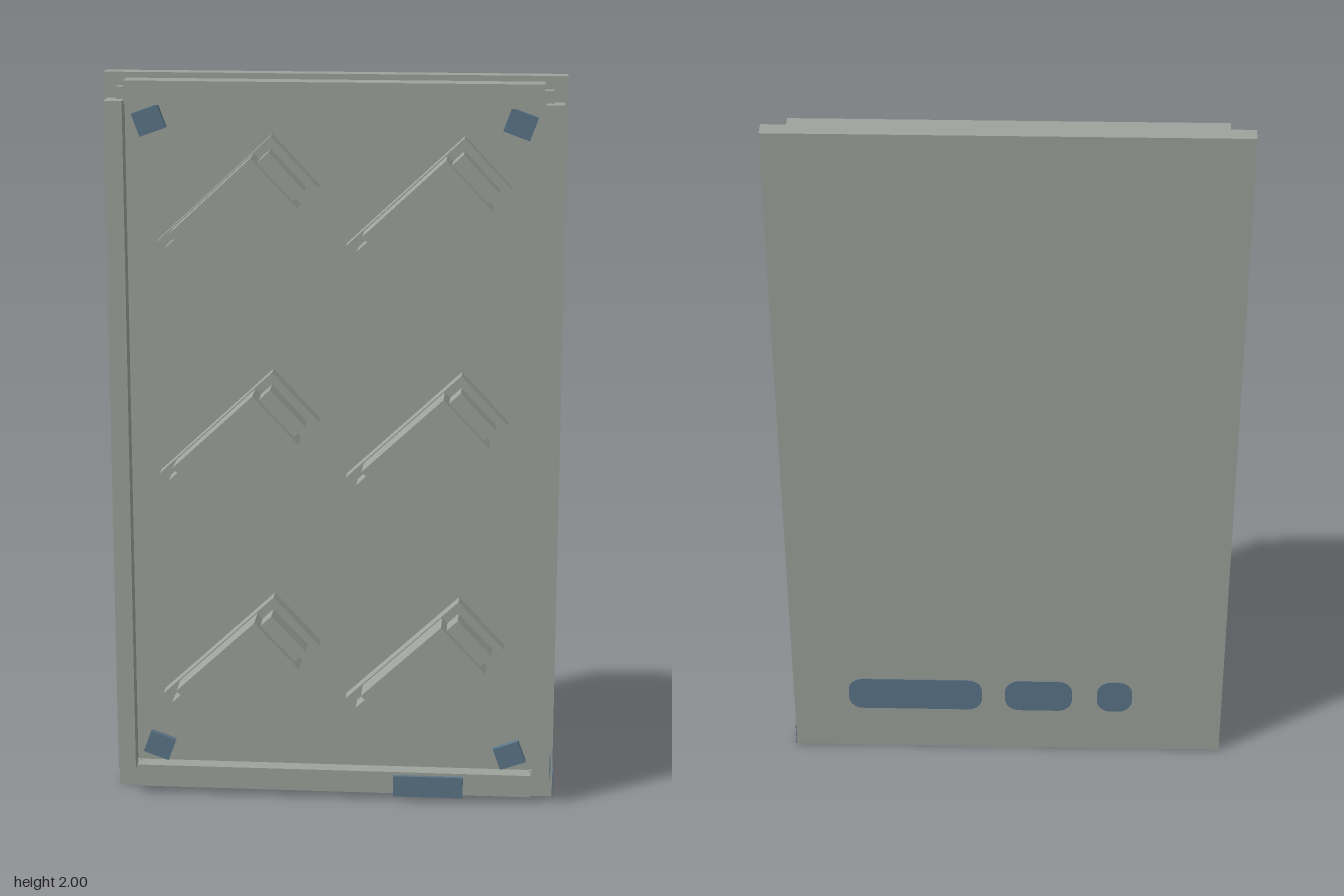
import * as THREE from 'three';

export function createModel() {
  const group = new THREE.Group();
  const grey = new THREE.MeshStandardMaterial({ color: 0x9ea39d });
  grey.name = 'warm grey';
  const blue = new THREE.MeshStandardMaterial({ color: 0x5c7689 });
  blue.name = 'slate blue';

  // box given by its lower and upper limits on each axis
  function box(name, [x0, x1], [y0, y1], [z0, z1], material = grey, parent = group) {
    const mesh = new THREE.Mesh(new THREE.BoxGeometry(x1 - x0, y1 - y0, z1 - z0), material);
    mesh.position.set((x0 + x1) / 2, (y0 + y1) / 2, (z0 + z1) / 2);
    mesh.name = name;
    parent.add(mesh);
    return mesh;
  }

  const floor = -0.035;

  // back slab and recessed tray
  box('backSlab', [-0.606, 0.606], [0, 2], [-0.095, -0.05]);
  box('trayFloor', [-0.55, 0.55], [0.08, 1.92], [-0.05, floor]);

  // raised frame
  box('topRail', [-0.546, 0.546], [1.922, 1.985], [-0.05, 0.009]);
  box('bottomRail', [-0.546, 0.546], [0.02, 0.083], [-0.05, 0.009]);
  for (const s of [-1, 1]) {
    const side = (a, b) => (s > 0 ? [a, b] : [-b, -a]);
    box('sideRail', side(0.55, 0.598), [0.072, 1.932], [-0.05, 0.013]);
    box('upperCornerConnector', side(0.54, 0.57), [1.92, 1.965], [-0.05, -0.022]);
    box('lowerCornerConnector', side(0.54, 0.57), [0.038, 0.085], [-0.05, -0.022]);

    // tilted pads in the tray corners
    for (const [y, tilt] of [[1.877, -20], [0.13, 20]]) {
      const pad = box('cornerPad', [-0.037, 0.037], [-0.032, 0.032], [floor, -0.018], blue);
      pad.position.x = s * 0.486;
      pad.position.y = y;
      pad.rotation.z = THREE.MathUtils.degToRad(s * tilt);
    }
  }

  // six slanted modules: mounting base, long core, taller body
  for (const x of [-0.253, 0.251]) {
    for (const y of [0.372, 1.003, 1.634]) {
      const unit = new THREE.Group();
      unit.name = 'slantedModule';
      box('moduleBase', [-0.21, 0.21], [-0.092, 0.092], [floor, 0.01], grey, unit);
      box('moduleCore', [-0.188, 0.188], [-0.068, 0.068], [0.01, 0.072], grey, unit);
      box('moduleBody', [-0.147, 0.147], [-0.089, 0.089], [0.01, 0.095], grey, unit);
      unit.position.set(x, y, 0);
      unit.rotation.z = THREE.MathUtils.degToRad(43);
      group.add(unit);
    }
  }

  // tab on the bottom rail and markings on the left edge
  box('bottomTab', [0.168, 0.36], [0.015, 0.075], [0.005, 0.02], blue);
  box('railMark', [0.597, 0.6], [0.072, 0.145], [-0.048, 0.013], blue);
  box('slabMark', [0.605, 0.608], [0, 0.068], [-0.095, -0.05], blue);

  // rounded plates on the back
  function roundedPlate(x0, x1, y0, y1, r) {
    const s = new THREE.Shape();
    s.moveTo(x0 + r, y0);
    s.lineTo(x1 - r, y0);
    s.absarc(x1 - r, y0 + r, r, -Math.PI / 2, 0, false);
    s.absarc(x1 - r, y1 - r, r, 0, Math.PI / 2, false);
    s.absarc(x0 + r, y1 - r, r, Math.PI / 2, Math.PI, false);
    s.absarc(x0 + r, y0 + r, r, Math.PI, Math.PI * 1.5, false);
    const geometry = new THREE.ExtrudeGeometry(s, { depth: 0.003, bevelEnabled: false, curveSegments: 6 });
    const mesh = new THREE.Mesh(geometry, blue);
    mesh.name = 'backPlate';
    mesh.position.z = -0.097;
    group.add(mesh);
  }
  for (const [x0, x1] of [[0.073, 0.45], [-0.182, 0.007], [-0.352, -0.253]]) {
    roundedPlate(x0, x1, 0.142, 0.25, 0.04);
  }

  return group;
}
